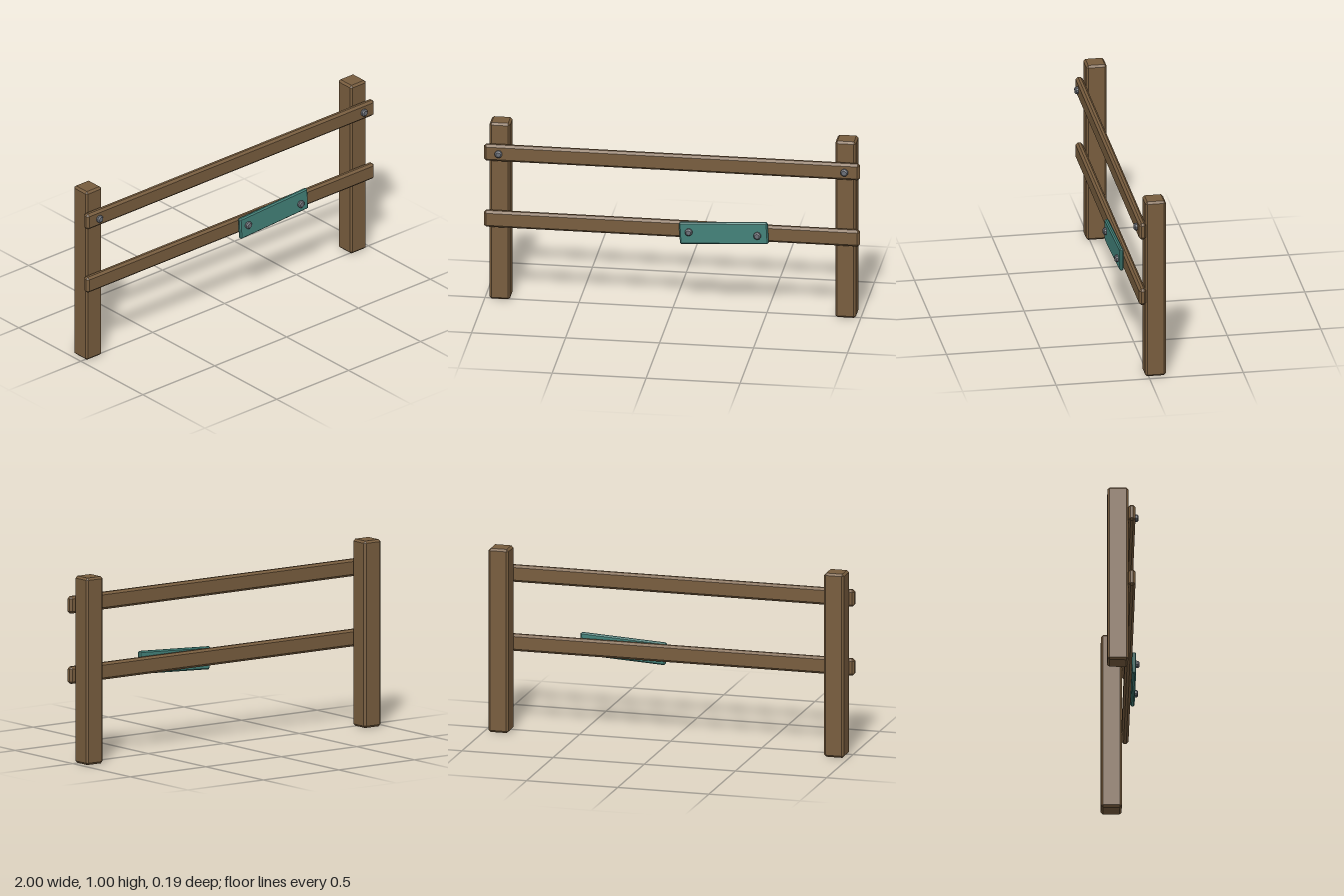
import * as THREE from 'three';
import { ConvexGeometry } from 'three/addons/geometries/ConvexGeometry.js';

const material = (name, color) => {
  const m = new THREE.MeshStandardMaterial({ color });
  m.name = name;
  return m;
};

// Box with flat chamfers on every edge and corner
function chamferBox(w, h, d, c) {
  const x = w / 2, y = h / 2, z = d / 2, points = [];
  for (const sx of [-1, 1]) for (const sy of [-1, 1]) for (const sz of [-1, 1]) {
    points.push(
      new THREE.Vector3(sx * x, sy * (y - c), sz * (z - c)),
      new THREE.Vector3(sx * (x - c), sy * y, sz * (z - c)),
      new THREE.Vector3(sx * (x - c), sy * (y - c), sz * z));
  }
  return new ConvexGeometry(points);
}

export function createModel() {
  const group = new THREE.Group();
  group.name = 'fence';
  const wood = material('brown wood', 0x785d3e);
  const paint = material('teal paint', 0x43827a);
  const metal = material('grey metal', 0x6c7078);

  const add = (name, geometry, mat, x, y, z) => {
    const mesh = new THREE.Mesh(geometry, mat);
    mesh.name = name;
    mesh.position.set(x, y, z);
    group.add(mesh);
    return mesh;
  };

  // Upright posts
  const post = chamferBox(0.11, 1, 0.11, 0.011);
  add('rightPost', post, wood, -0.92, 0.5, -0.037);
  add('leftPost', post, wood, 0.92, 0.5, -0.037);

  // Horizontal rails on the front of the posts
  const rail = chamferBox(2, 0.092, 0.038, 0.012);
  add('upperRail', rail, wood, 0, 0.843, 0.036);
  add('lowerRail', rail, wood, 0, 0.467, 0.036);

  // Slightly tilted repair plate
  const plate = add('repairPlate', chamferBox(0.472, 0.122, 0.023, 0.007), paint, 0.28, 0.467, 0.0665);
  plate.rotation.z = THREE.MathUtils.degToRad(3);

  // Bolts with a chamfered head, seated in the surface behind them
  const profile = [[0, -0.008], [0.02, -0.008], [0.02, 0.011], [0.013, 0.017], [0, 0.017]]
    .map(([r, y]) => new THREE.Vector2(r, y));
  const bolt = new THREE.LatheGeometry(profile, 10).toNonIndexed().rotateX(Math.PI / 2);
  bolt.computeVertexNormals();
  add('rightPostBolt', bolt, metal, -0.92, 0.843, 0.055);
  add('leftPostBolt', bolt, metal, 0.92, 0.843, 0.055);
  add('rightPlateBolt', bolt, metal, 0.095, 0.467, 0.078);
  add('leftPlateBolt', bolt, metal, 0.46, 0.467, 0.078);

  return group;
}
